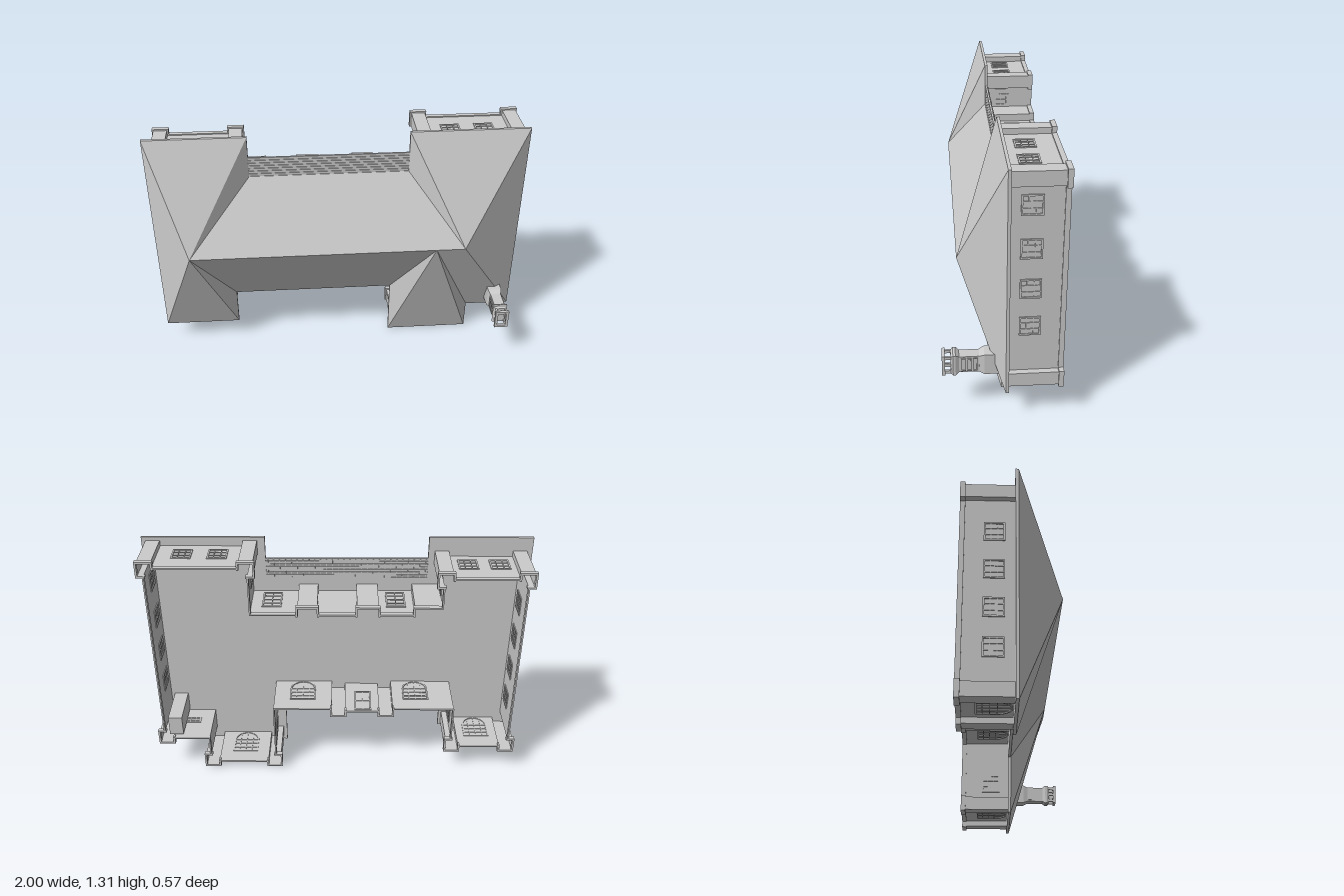
import * as THREE from 'three';

const mat = new THREE.MeshStandardMaterial({ color: 0xcccccc, side: THREE.DoubleSide, flatShading: true });
const EAVE = -0.01, CEILING = -0.025, GROUND = -0.287;
const PILASTER = 0.072, RECESS = 0.03;

function add(parent, name, geo, x = 0, y = 0, z = 0) {
  const m = new THREE.Mesh(geo, mat);
  m.name = name;
  m.position.set(x, y, z);
  parent.add(m);
}
const box = (w, h, d) => new THREE.BoxGeometry(w, h, d);

// The house stands along z: plan points are [x, y], heights are z.
const roofPlan = [[-1, 0.115], [-0.585, 0.115], [-0.585, 0.325], [0.295, 0.325], [0.295, 0.003], [0.755, 0.003],
  [0.755, 0.165], [1, 0.165], [1, 1.313], [0.37, 1.313], [0.37, 1.085], [-0.468, 1.085], [-0.468, 1.313], [-1, 1.313]];
const wallPlan = [[-0.972, 0.135], [-0.6, 0.135], [-0.6, 0.42], [-0.3, 0.42], [-0.3, 0.375], [0.03, 0.375],
  [0.03, 0.42], [0.315, 0.42], [0.315, 0.022], [0.735, 0.022], [0.735, 0.185], [0.977, 0.185], [0.977, 1.295],
  [0.41, 1.295], [0.41, 1.005], [0.2, 1.005], [0.2, 1.045], [0.1, 1.045], [0.1, 1.005], [-0.1, 1.005],
  [-0.1, 1.045], [-0.21, 1.045], [-0.21, 1.005], [-0.39, 1.005], [-0.39, 1.045], [-0.5, 1.045],
  [-0.5, 1.238], [-0.972, 1.238]];

// Hip roof: every eave edge rises to one of three ridge points
function buildRoof(g) {
  const ridge = [[-0.8, 0.715, 0.203], [0.51, 0.715, 0.203], [0.665, 0.715, 0.203]];
  const apexOfEdge = [0, 0, 0, 1, 1, 1, 2, 2, 2, 2, 2, 0, 0, 0];
  const pos = [];
  const n = roofPlan.length;
  roofPlan.forEach((p, i) => {
    const q = roofPlan[(i + 1) % n], a = ridge[apexOfEdge[i]], b = ridge[apexOfEdge[(i + 1) % n]];
    pos.push(...p, EAVE, ...q, EAVE, ...a);
    if (a !== b) pos.push(...q, EAVE, ...b, ...a);
    // fascia
    pos.push(...p, CEILING, ...q, CEILING, ...q, EAVE, ...p, CEILING, ...q, EAVE, ...p, EAVE);
  });
  const geo = new THREE.BufferGeometry();
  geo.setAttribute('position', new THREE.Float32BufferAttribute(pos, 3));
  geo.computeVertexNormals();
  add(g, 'hipRoof', geo);
  const shape = new THREE.Shape(roofPlan.map(p => new THREE.Vector2(...p)));
  add(g, 'ceiling', new THREE.ShapeGeometry(shape), 0, 0, CEILING);
}

// Group whose x runs along the wall, y is the building's height, z points outwards
function onWall(g, name, p, dir) {
  const o = new THREE.Group();
  o.name = name;
  const u = new THREE.Vector3(dir[0], dir[1], 0), up = new THREE.Vector3(0, 0, 1);
  o.setRotationFromMatrix(new THREE.Matrix4().makeBasis(u, up, u.clone().cross(up)));
  o.position.set(p[0], p[1], 0);
  g.add(o);
  return o;
}

// Length and direction from each plan point to the next
const edgesOf = plan => plan.map((p, i) => {
  const q = plan[(i + 1) % plan.length], len = Math.hypot(q[0] - p[0], q[1] - p[1]);
  return { len, u: [(q[0] - p[0]) / len, (q[1] - p[1]) / len] };
});

// Keep a pilaster at each outer corner and set the wall between them back
function withPilasters(plan) {
  const n = plan.length, edges = edgesOf(plan);
  const convex = i => {
    const a = edges[(i + n - 1) % n].u, b = edges[i % n].u;
    return a[0] * b[1] - a[1] * b[0] > 0;
  };
  const recess = edges.map((e, i) => (e.len > 0.12 && (convex(i) || convex(i + 1)) ? RECESS : 0));
  // point moved along an edge, then back behind it
  const move = (p, e, along, back) => [p[0] + e.u[0] * along - e.u[1] * back, p[1] + e.u[1] * along + e.u[0] * back];
  return plan.flatMap((p, i) => {
    const k = (i + n - 1) % n, a = edges[k], b = edges[i];
    if (!convex(i)) return [move(move(p, a, 0, recess[k]), b, 0, recess[i])];
    const points = [p];
    if (recess[k]) points.unshift(move(p, a, -PILASTER, RECESS), move(p, a, -PILASTER, 0));
    if (recess[i]) points.push(move(p, b, PILASTER, 0), move(p, b, PILASTER, RECESS));
    return points;
  });
}

function buildWalls(g) {
  const plan = withPilasters(wallPlan), edges = edgesOf(plan);
  plan.forEach((p, i) => {
    const { u, len } = edges[i];
    const w = onWall(g, 'wallSection', p, u);
    add(w, 'wall', new THREE.PlaneGeometry(len, CEILING - GROUND), len / 2, (CEILING + GROUND) / 2, 0);
    // pilasters have a raised base, walls a flat one
    if (len < 0.115) add(w, 'pilasterBase', box(len + 0.016, 0.025, 0.01), len / 2, GROUND + 0.0125, 0.003);
    else add(w, 'wallBase', box(len, 0.025, 0.008), len / 2, GROUND + 0.0125, 0.002);
  });
}

// Framed window with glazing bars; arched ones get a half-round head
function addWindow(g, p, dir, { w = 0.1, h = 0.1, z = -0.122, cols = 3, rows = 3, arched = false, name = 'window' } = {}) {
  const o = onWall(g, name, p, dir);
  const t = 0.008, d = 0.01;
  const path = (k) => {
    const s = new THREE.Shape(), a = w / 2 - k, b = h / 2 - k;
    s.moveTo(-a, -b);
    s.lineTo(a, -b);
    s.lineTo(a, arched ? h / 2 : b);
    if (arched) s.absarc(0, h / 2, a, 0, Math.PI, false);
    else s.lineTo(-a, b);
    s.closePath();
    return s;
  };
  const frame = path(0);
  frame.holes.push(path(t));
  add(o, 'frame', new THREE.ExtrudeGeometry(frame, { depth: d, bevelEnabled: false, curveSegments: 10 }), 0, z, -d / 2);
  for (let i = 1; i < cols; i++) {
    const x = -w / 2 + w * i / cols;
    const top = arched ? h / 2 + Math.sqrt(w * w / 4 - x * x) - t / 2 : h / 2;
    add(o, 'uprightBar', box(0.004, top + h / 2, 0.008), x, z + (top - h / 2) / 2, 0);
  }
  for (let j = 1; j < rows + (arched ? 1 : 0); j++) add(o, 'crossBar', box(w, 0.004, 0.008), 0, z - h / 2 + h * j / rows, 0);
}

function buildWindows(g) {
  for (const y of [1.125, 0.91, 0.705, 0.505]) addWindow(g, [0.947, y], [0, 1]);
  for (const y of [0.99, 0.785, 0.585, 0.385]) addWindow(g, [-0.942, y], [0, -1]);
  for (const x of [-0.82, -0.66]) addWindow(g, [x, 1.208], [-1, 0]);
  for (const x of [0.6, 0.78]) addWindow(g, [x, 1.265], [-1, 0]);
  // inner sides of the wings
  addWindow(g, [-0.53, 1.105], [0, 1]);
  addWindow(g, [0.44, 1.145], [0, -1]);
  addWindow(g, [-0.63, 0.29], [0, 1]);
  addWindow(g, [0.345, 0.18], [0, -1]);
  addWindow(g, [0.82, 0.215], [1, 0], { w: 0.09, h: 0.05 });
  // arched windows on the entrance side
  for (const [x, y] of [[0.19, 0.42], [-0.43, 0.42], [0.525, 0.052], [-0.785, 0.165]])
    addWindow(g, [x, y], [1, 0], { w: 0.14, h: 0.1, z: -0.15, cols: 4, arched: true, name: 'archedWindow' });
  // doors
  for (const x of [-0.3, 0.335])
    addWindow(g, [x, 1.005], [-1, 0], { w: 0.1, h: 0.15, z: -0.125, cols: 2, rows: 4, name: 'gardenDoor' });
  addWindow(g, [-0.14, 0.405], [1, 0], { w: 0.09, h: 0.17, z: -0.19, cols: 2, rows: 2, name: 'entranceDoor' });
}

// Slatted canopy between the rear wings, carried on thin ribs
function buildCanopy(g) {
  for (let i = 0; i < 7; i++) add(g, 'canopySlat', box(0.838, 0.0135, 0.01), -0.049, 1.092 + i * 0.0157, -0.018);
  for (let i = 0; i < 28; i++) add(g, 'canopyRib', box(0.004, 0.105, 0.006), -0.459 + i * 0.0303, 1.138, -0.026);
}

// Chimney with panelled shaft and open lantern cap
function buildChimney(g) {
  const c = new THREE.Group();
  c.name = 'chimney';
  c.position.set(0.89, 0.28, 0);
  g.add(c);
  const taper = (w0, h0, w1, z0, z1) => {
    const geo = new THREE.CylinderGeometry(w1 * Math.SQRT1_2, w0 * Math.SQRT1_2, z1 - z0, 4);
    geo.rotateY(Math.PI / 4).rotateX(Math.PI / 2).scale(1, h0 / w0, 1);
    add(c, 'chimneyTaper', geo, 0, 0, (z0 + z1) / 2);
  };
  add(c, 'chimneyBase', box(0.075, 0.11, 0.345), 0, 0, -0.0875);
  taper(0.075, 0.11, 0.06, 0.085, 0.11);
  add(c, 'chimneyShaft', box(0.058, 0.088, 0.1), 0, 0, 0.155);
  taper(0.058, 0.088, 0.075, 0.205, 0.222);
  add(c, 'chimneyCollar', box(0.075, 0.11, 0.012), 0, 0, 0.228);
  taper(0.075, 0.11, 0.062, 0.234, 0.245);
  for (const s of [-1, 1]) {
    for (let i = -1; i <= 1; i++) {
      for (const k of [-1, 1]) {
        add(c, 'panelRim', box(0.008, 0.07, 0.004), s * 0.03, 0, 0.157 + i * 0.028 + k * 0.009);
        add(c, 'panelRim', box(0.008, 0.004, 0.022), s * 0.03, k * 0.034, 0.157 + i * 0.028);
      }
    }
    for (const k of [-1, 0, 1]) add(c, 'capPost', box(0.01, 0.016, 0.03), s * 0.027, k * 0.039, 0.257);
  }
  // open rim on top
  for (const s of [-1, 1]) {
    add(c, 'capRim', box(0.014, 0.105, 0.015), s * 0.03, 0, 0.279);
    add(c, 'capRim', box(0.074, 0.014, 0.015), 0, s * 0.046, 0.279);
  }
}

export function createModel() {
  const g = new THREE.Group();
  g.name = 'house';
  buildRoof(g);
  buildWalls(g);
  buildWindows(g);
  buildCanopy(g);
  buildChimney(g);
  return g;
}
